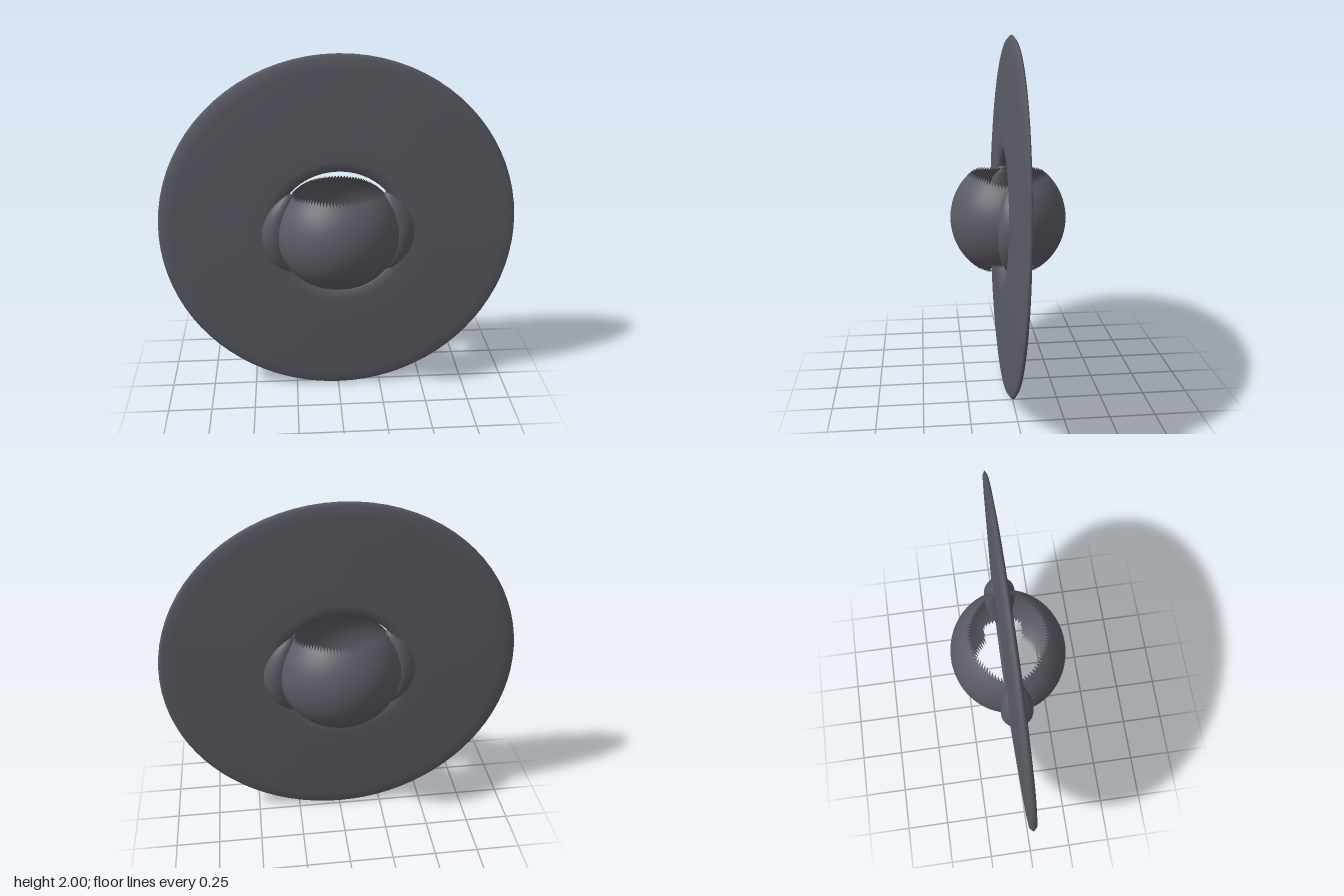
import * as THREE from 'three';

const CENTER_Y = 1;

// Thin tapered disc with a round hole, standing upright and leaning slightly
function makeDisc() {
  const side = [[0.354, 0.016], [0.375, 0.034], [0.42, 0.041], [0.55, 0.036], [0.75, 0.027], [0.92, 0.019], [0.98, 0.014]];
  const profile = [
    [0.35, 0], ...side.map(([r, h]) => [r, -h]), [0.998, 0], ...side.map(([r, h]) => [r, h]).reverse(), [0.35, 0],
  ].map(([r, h]) => new THREE.Vector2(r, h));
  const geo = new THREE.LatheGeometry(profile, 80);
  geo.rotateX(Math.PI / 2);
  const p = geo.attributes.position;
  for (let i = 0; i < p.count; i++) {
    const x = p.getX(i), y = p.getY(i);
    // thicker towards -x, leaning back towards the top
    p.setZ(i, p.getZ(i) * (1 - 0.4 * x * Math.abs(x)) - 0.022 * y + 0.006 * x);
    const r = Math.hypot(x, y);
    p.setY(i, y + 0.01 * Math.max(0, 1 - (r - 0.35) / 0.4));
  }
  geo.computeVertexNormals();
  return geo;
}

// Open spherical band, its rims pulled in where it meets the disc
function makeBand() {
  const R = new THREE.Vector3(0.346, 0.33, 0.322);
  const rows = 24, cols = 80;
  const geo = new THREE.SphereGeometry(1, cols, rows);
  const p = geo.attributes.position, n = geo.attributes.normal;
  const v = new THREE.Vector3();
  for (let i = 0; i < p.count; i++) {
    const a = (i % (cols + 1)) / cols * Math.PI * 2;
    const t = Math.floor(i / (cols + 1)) / rows;
    const s = Math.abs(Math.sin(a));
    const top = 0.262 - 0.025 * (1 - THREE.MathUtils.smoothstep(s, 0.2, 0.8));
    const bottom = -0.272 + 0.062 * (1 - THREE.MathUtils.smoothstep(s, 0.42, 0.58));
    const y = THREE.MathUtils.lerp(top, bottom, t) / R.y;
    const r = Math.sqrt(1 - y * y);
    v.set(-Math.cos(a) * r, y, Math.sin(a) * r);
    p.setXYZ(i, v.x * R.x, v.y * R.y, v.z * R.z);
    v.divide(R).normalize();
    n.setXYZ(i, v.x, v.y, v.z);
  }
  return geo;
}

// Lens-shaped swelling that joins the band to the disc
function makeBulge() {
  const geo = new THREE.SphereGeometry(1, 32, 24);
  geo.scale(0.085, 0.24, 0.09);
  const p = geo.attributes.position;
  for (let i = 0; i < p.count; i++) {
    const y = p.getY(i);
    p.setX(i, p.getX(i) - 1.3 * y * y); // follows the curve of the hole
  }
  geo.computeVertexNormals();
  return geo;
}

export function createModel() {
  const group = new THREE.Group();
  const grey = new THREE.MeshStandardMaterial({ color: 0x5a5a64, side: THREE.DoubleSide });
  grey.name = 'slate grey';

  const add = (name, geo, x = 0) => {
    const mesh = new THREE.Mesh(geo, grey);
    mesh.name = name;
    mesh.position.set(x, CENTER_Y, 0);
    group.add(mesh);
    return mesh;
  };

  add('disc', makeDisc());
  add('sphereBand', makeBand());
  add('leftBulge', makeBulge(), 0.35);
  add('rightBulge', makeBulge(), -0.35).rotation.y = Math.PI;
  return group;
}
